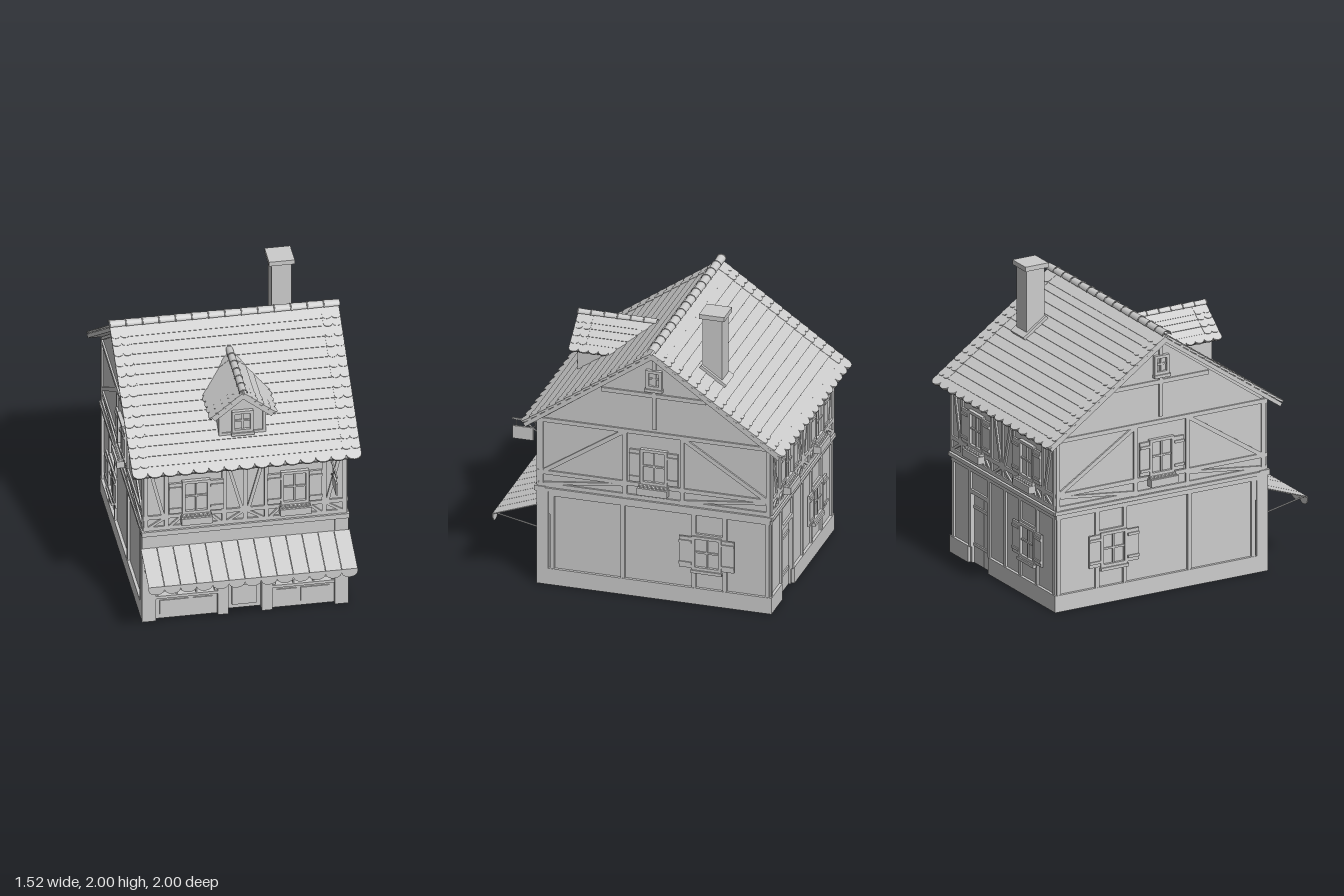
import * as THREE from 'three';

const plaster = new THREE.MeshStandardMaterial({ color: 0xcccccc, side: THREE.DoubleSide });
plaster.name = 'plain grey';

function add(parent, name, geo, x = 0, y = 0, z = 0) {
  const m = new THREE.Mesh(geo, plaster);
  m.name = name;
  m.position.set(x, y, z);
  parent.add(m);
  return m;
}
function group(parent, name, x = 0, y = 0, z = 0, ry = 0) {
  const g = new THREE.Group();
  g.name = name;
  g.position.set(x, y, z);
  g.rotation.y = ry;
  parent.add(g);
  return g;
}
// box given by its limits
function box(p, name, x0, x1, y0, y1, z0, z1) {
  return add(p, name, new THREE.BoxGeometry(x1 - x0, y1 - y0, z1 - z0), (x0 + x1) / 2, (y0 + y1) / 2, (z0 + z1) / 2);
}
// timber lying on a facade (local z = 0) between two points
function beam(p, u0, v0, u1, v1, w = 0.028, d = 0.012) {
  const m = add(p, 'timber', new THREE.BoxGeometry(Math.hypot(u1 - u0, v1 - v0), w, d * 2), (u0 + u1) / 2, (v0 + v1) / 2, 0);
  m.rotation.z = Math.atan2(v1 - v0, u1 - u0);
}
function extrude(pts, depth) {
  return new THREE.ExtrudeGeometry(new THREE.Shape(pts.map(p => new THREE.Vector2(...p))), { depth, bevelEnabled: false });
}
// framed casement centred at u, v, with optional shutters and flower box
function casement(p, u, v, w, h, shutter = 0, flowers = false) {
  const g = group(p, 'window', u, v, 0), a = w / 2, b = h / 2, t = 0.02;
  box(g, 'glass', -a, a, -b, b, 0, 0.006);
  for (const s of [-1, 1]) {
    box(g, 'frame', s * a - t / 2, s * a + t / 2, -b - t / 2, b + t / 2, 0, 0.025);
    box(g, 'frame', -a, a, s * b - t / 2, s * b + t / 2, 0, 0.025);
    if (!shutter) continue;
    const c = s * (a + 0.012 + shutter / 2);
    box(g, 'shutter', c - shutter / 2, c + shutter / 2, -b, b, 0.008, 0.022);
    for (const k of [-0.7, 0.7]) box(g, 'shutterBatten', c - shutter / 2, c + shutter / 2, k * b - 0.009, k * b + 0.009, 0.02, 0.03);
  }
  box(g, 'mullion', -0.006, 0.006, -b, b, 0, 0.016);
  box(g, 'glazingBar', -a, a, -0.002, 0.01, 0, 0.016);
  box(g, 'sill', -a - 0.015, a + 0.015, -b - 0.03, -b - 0.01, 0, 0.035);
  if (flowers) {
    box(g, 'flowerBox', -a - 0.02, a + 0.02, -b - 0.075, -b - 0.025, 0.01, 0.062);
    for (let i = 0; i < 7; i++) add(g, 'flowers', new THREE.IcosahedronGeometry(0.016, 0), -a + i * w / 6, -b - 0.022, 0.037);
  }
}
// rounded roof tile: x across, z downslope, y normal
function tileGeo(w, l, t) {
  const pts = [[-w / 2, 0], [-w / 2, -l + w * 0.35]];
  for (let i = 1; i < 6; i++) { const a = Math.PI * (1 + i / 6); pts.push([Math.cos(a) * w / 2, -l + w * 0.35 * (1 + Math.sin(a))]); }
  pts.push([w / 2, -l + w * 0.35], [w / 2, 0]);
  return extrude(pts, t).rotateX(-Math.PI / 2);
}
// one roof pitch: starts at the ridge, falls towards local +z
function pitch(parent, name, x, y, z, ry, angle, w, len, rows, tw, border) {
  const turn = group(parent, name, x, y, z, ry), g = group(turn, 'pitch');
  g.rotation.x = angle;
  box(g, 'roofBoard', -w / 2 + 0.005, w / 2 - 0.005, -0.026, 0, 0, len - 0.02);
  const step = len / rows, l = step * 1.25, n = Math.round(w / tw);
  const edge = tileGeo(border, l, 0.014), eave = tileGeo(w / n, l, 0.014);
  for (let r = 0; r < rows; r++) {
    const row = group(g, 'tileRow', 0, 0, (r + 1) * step - l);
    row.position.z = Math.max(row.position.z, 0);
    row.rotation.x = -0.07;
    const last = r === rows - 1;
    if (last) for (let i = 0; i < n; i++) add(row, 'eaveTile', eave, -w / 2 + (i + 0.5) * w / n);
    else {
      const k = w / 2 - border * 2;
      box(row, 'tileCourse', -k, k, 0, 0.012, 0, l - 0.008);
      for (const s of [-1, 1]) for (const c of [0.5, 1.5]) add(row, 'edgeTile', edge, s * (w / 2 - c * border));
    }
  }
}
// half-round ridge tiles along local x
function ridge(parent, len, n, r, x, y, z, ry) {
  const g = group(parent, 'ridgeTiles', x, y, z, ry);
  const geo = new THREE.CylinderGeometry(r, r * 0.88, len / n, 10, 1, true, 0, Math.PI).rotateZ(Math.PI / 2);
  const collar = new THREE.TorusGeometry(r, 0.004, 4, 10, Math.PI).rotateY(Math.PI / 2);
  for (let i = 0; i < n; i++) {
    add(g, 'ridgeTile', geo, -len / 2 + (i + 0.5) * len / n);
    add(g, 'ridgeCollar', collar, -len / 2 + (i + 0.02) * len / n);
  }
}
// half-timbering of the upper storey on the long sides
function longUpper(g) {
  for (const v of [0.715, 0.8, 1.17]) beam(g, -0.67, v, 0.67, v);
  for (const u of [0, 0.14, 0.52, 0.655]) for (const s of u ? [-1, 1] : [1]) beam(g, s * u, 0.7, s * u, 1.2);
  for (const s of [-1, 1]) {
    beam(g, s * 0.63, 1.18, s * 0.54, 0.8, 0.022);
    beam(g, s * 0.12, 1.18, s * 0.02, 0.8, 0.022);
    for (const u of [0.24, 0.41]) beam(g, s * u, 0.7, s * u, 0.8, 0.022);
    for (const [a, b] of [[0.64, 0.53], [0.5, 0.42], [0.16, 0.23], [0.12, 0.01]]) beam(g, s * a, 0.72, s * b, 0.79, 0.018);
    casement(g, s * 0.325, 0.94, 0.165, 0.23, 0.085, true);
  }
}

export function createModel() {
  const house = new THREE.Group();
  house.name = 'halfTimberedShop';

  // upper storey and gables as one solid
  add(house, 'upperWalls', extrude([[-0.69, 0.66], [0.89, 0.66], [0.89, 1.2], [0.1, 1.755], [-0.69, 1.2]], 1.33), -0.665, 0, 0).rotation.y = Math.PI / 2;

  // hollow ground floor with plinth
  for (const s of [-1, 1]) {
    const a = s * 0.66, c = s * 0.59, d = s * 0.68;
    box(house, 'sideWall', Math.min(a, c), Math.max(a, c), 0, 0.67, -0.88, 0.68);
    box(house, 'sidePlinth', Math.min(d, c), Math.max(d, c), 0, 0.115, -0.9, 0.62);
    box(house, 'cornerPilaster', Math.min(d, c), Math.max(d, c), 0, 0.68, 0.62, 0.7);
  }
  box(house, 'backWall', -0.66, 0.2, 0, 0.67, -0.88, -0.81);
  box(house, 'backWall', 0.42, 0.66, 0, 0.67, -0.88, -0.81);
  box(house, 'backWall', 0.2, 0.42, 0.5, 0.67, -0.88, -0.81);
  box(house, 'backPlinth', -0.68, 0.18, 0, 0.115, -0.9, -0.8);
  box(house, 'backPlinth', 0.44, 0.68, 0, 0.115, -0.9, -0.8);

  // gable sides, u runs towards the back on both
  for (const s of [1, -1]) {
    const g = group(house, s > 0 ? 'leftFacade' : 'rightFacade', s * 0.665, 0, 0, s * Math.PI / 2);
    const B = (u0, v0, u1, v1, w, d) => beam(g, s * u0, v0, s * u1, v1, w, d);
    B(-0.7, 0.68, 0.9, 0.68, 0.025, 0.02);
    for (const v of [0.71, 0.8, 1.175]) B(-0.69, v, 0.89, v);
    for (const u of [-0.67, -0.1, 0.29, 0.875]) B(u, 0.69, u, 1.18);
    B(-0.65, 0.81, -0.11, 1.165);
    B(0.3, 1.165, 0.86, 0.81);
    B(-0.65, 0.72, -0.11, 0.785, 0.02);
    B(0.86, 0.785, 0.3, 0.72, 0.02);
    B(-0.26, 1.45, 0.45, 1.45);
    B(0.1, 1.21, 0.1, 1.72);
    B(-0.66, 1.2, 0.1, 1.735, 0.02);
    B(0.86, 1.2, 0.1, 1.735, 0.02);
    casement(g, s * 0.1, 1.57, 0.09, 0.11);
    casement(g, s * 0.1, 0.94, 0.165, 0.23, 0.07, true);
    B(-0.62, 0.65, 0.89, 0.65);
    for (const u of [-0.595, -0.115, 0.37, 0.58, 0.87]) B(u, 0.11, u, 0.65);
    B(0.37, 0.49, 0.58, 0.49);
    B(0.37, 0.25, 0.58, 0.25);
    casement(g, s * 0.46, 0.37, 0.18, 0.22, 0.085);
  }

  // back facade, u = -x
  const back = group(house, 'backFacade', 0, 0, -0.89, Math.PI);
  longUpper(back);
  beam(back, -0.68, 0.68, 0.68, 0.68, 0.025, 0.02);
  const low = group(back, 'lowerTimbers', 0, 0, -0.008);
  beam(low, -0.67, 0.65, 0.67, 0.65);
  for (const u of [-0.65, -0.43, -0.19, 0.02, 0.215, 0.425, 0.65]) beam(low, u, 0.11, u, 0.65);
  beam(low, 0.215, 0.49, 0.425, 0.49);
  beam(low, 0.215, 0.25, 0.425, 0.25);
  beam(low, -0.43, 0.5, -0.19, 0.5);
  casement(low, 0.32, 0.37, 0.18, 0.22, 0.085);
  for (let i = 0; i < 5; i++) box(back, 'backDoorPlank', -0.418 + i * 0.043, -0.378 + i * 0.043, 0, 0.5, -0.05, -0.025);
  for (const v of [0.12, 0.38]) box(back, 'doorStrap', -0.41, -0.22, v, v + 0.02, -0.03, -0.015);

  // front upper storey
  longUpper(group(house, 'frontFacade', 0, 0, 0.69));

  // shopfront
  box(house, 'fascia', -0.67, 0.67, 0.5, 0.69, 0.6, 0.695);
  box(house, 'cornice', -0.685, 0.685, 0.665, 0.7, 0.64, 0.715);
  for (const s of [-1, 1]) {
    const g = group(house, 'displayBay', s * 0.385, 0, 0);
    box(g, 'stallRiser', -0.21, 0.21, 0, 0.17, 0.6, 0.67);
    for (const [a, b] of [[-0.175, -0.045], [-0.015, 0.175]]) {
      const w = (b - a) / 2, c = s * -(a + b) / 2 * -1;
      box(g, 'raisedPanel', c - w, c + w, 0.035, 0.14, 0.66, 0.678);
    }
    box(g, 'displayBack', -0.21, 0.21, 0.15, 0.52, 0.52, 0.53);
    box(g, 'displayFloor', -0.21, 0.21, 0.15, 0.17, 0.53, 0.62);
    box(g, 'shelf', -0.19, 0.19, 0.295, 0.307, 0.53, 0.64);
    for (const u of [-0.195, -0.065, 0.065, 0.195]) {
      const w = Math.abs(u) > 0.1 ? 0.012 : 0.005;
      box(g, 'windowPost', u - w, u + w, 0.17, 0.52, 0.65, 0.685);
    }
    box(g, 'windowSill', -0.205, 0.205, 0.165, 0.185, 0.64, 0.695);
    for (let i = 0; i < 11; i++) for (const v of [0.17, 0.307]) {
      const h = 0.035 + 0.018 * ((i * 7 + (v > 0.2 ? 3 : 0)) % 4) / 3;
      add(g, 'jar', new THREE.CylinderGeometry(0.011, 0.011, h, 8), -0.16 + i * 0.032, v + h / 2, 0.6);
    }
    const p = s * 0.145;
    box(house, 'doorPilaster', p - 0.035, p + 0.035, 0, 0.52, 0.6, 0.695);
  }
  box(house, 'shopDoor', -0.11, 0.11, 0.01, 0.5, 0.62, 0.645);
  box(house, 'doorLowerPanel', -0.08, 0.08, 0.04, 0.2, 0.64, 0.655);
  const door = group(house, 'doorWindow', 0, 0.32, 0.645);
  casement(door, 0, 0, 0.16, 0.17);

  // awning with scalloped valance and arms
  const drop = 0.11, run = 0.3, aw = group(house, 'awning', 0, 0.565, 0.698);
  const n = 13, sw = 1.38 / n, flap = tileGeo(sw, 0.06, 0.006).rotateX(Math.PI / 2);
  const strip = new THREE.BoxGeometry(sw - 0.003, 0.006, Math.hypot(drop, run));
  for (let i = 0; i < n; i++) {
    const x = -0.69 + (i + 0.5) * sw;
    add(aw, 'awningStrip', strip, x, -drop / 2, run / 2).rotation.x = Math.atan2(drop, run);
    add(aw, 'valance', flap, x, -drop, run - 0.006);
  }
  for (const s of [-1, 1]) {
    const arm = new THREE.LineCurve3(new THREE.Vector3(s * 0.66, -0.17, 0), new THREE.Vector3(s * 0.66, -drop, run - 0.01));
    add(aw, 'awningArm', new THREE.TubeGeometry(arm, 1, 0.005, 6));
  }

  // hanging sign
  const sign = group(house, 'hangingSign', 0.57, 0, 0);
  box(sign, 'signArm', -0.005, 0.005, 1.1, 1.11, 0.69, 0.9);
  box(sign, 'signBoard', -0.006, 0.006, 0.965, 1.055, 0.755, 0.895);
  for (const z of [0.78, 0.87]) box(sign, 'signHanger', -0.002, 0.002, 1.05, 1.105, z - 0.002, z + 0.002);
  add(sign, 'signScroll', new THREE.TorusGeometry(0.02, 0.004, 6, 16).rotateY(Math.PI / 2), 0, 1.08, 0.76);
  const brace = new THREE.LineCurve3(new THREE.Vector3(0, 1.0, 0.69), new THREE.Vector3(0, 1.1, 0.82));
  add(sign, 'signBrace', new THREE.TubeGeometry(brace, 1, 0.005, 6));

  // main roof
  const slope = Math.atan2(0.62, 0.89);
  pitch(house, 'frontRoof', 0, 1.775, -0.105, 0, slope, 1.51, 1.085, 15, 0.1, 0.06);
  pitch(house, 'backRoof', 0, 1.775, -0.105, Math.PI, slope, 1.51, 1.085, 15, 0.1, 0.06);
  ridge(house, 1.52, 14, 0.032, 0, 1.795, -0.105, 0);

  // dormer
  const dormer = group(house, 'dormer');
  add(dormer, 'dormerWalls', extrude([[-0.155, 1.25], [0.155, 1.25], [0.155, 1.5], [0, 1.62], [-0.155, 1.5]], 0.48), 0, 0, 0.1);
  const face = group(dormer, 'dormerFace', 0, 0, 0.58);
  casement(face, 0, 1.415, 0.12, 0.14);
  for (const s of [-1, 1]) {
    beam(face, s * 0.145, 1.32, s * 0.145, 1.5, 0.02, 0.008);
    beam(face, s * 0.2, 1.465, 0, 1.62, 0.025, 0.03);
    pitch(dormer, 'dormerRoof', 0, 1.635, 0.36, s * Math.PI / 2, Math.atan2(0.17, 0.21), 0.54, 0.28, 5, 0.068, 0.055);
  }
  beam(face, -0.155, 1.32, 0.155, 1.32, 0.02, 0.008);
  ridge(dormer, 0.54, 6, 0.026, 0, 1.65, 0.36, Math.PI / 2);

  // chimney
  box(house, 'chimneyShaft', 0.36, 0.49, 1.4, 1.97, -0.505, -0.37);
  box(house, 'chimneyCap', 0.34, 0.51, 1.968, 2.0, -0.525, -0.352);
  const flashing = add(house, 'chimneyFlashing', new THREE.BoxGeometry(0.17, 0.05, 0.21), 0.425, 1.555, -0.44);
  flashing.rotation.x = -slope;
  return house;
}
